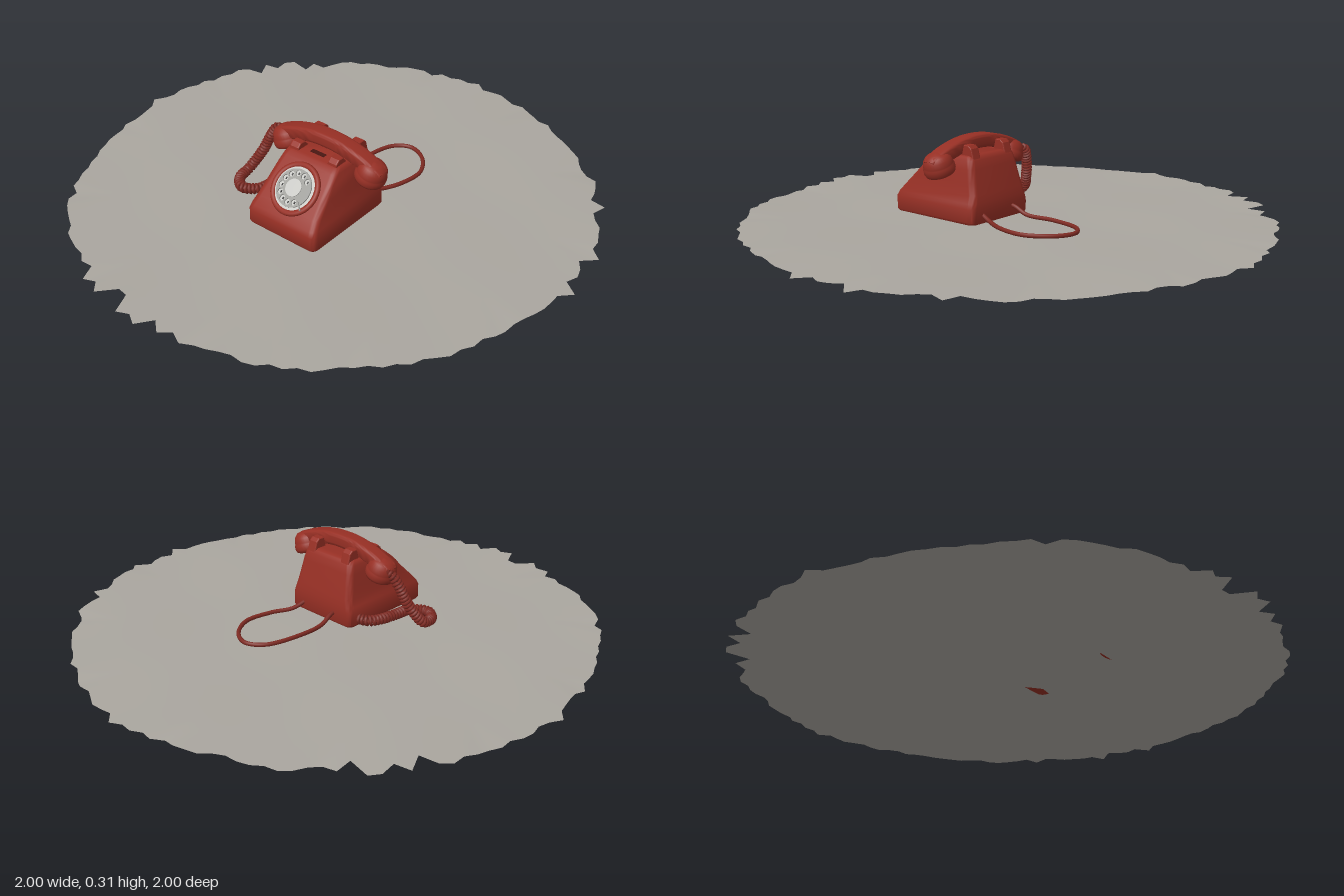
import * as THREE from 'three';
import { toCreasedNormals } from 'three/addons/utils/BufferGeometryUtils.js';

const CX = 0.06; // the telephone sits a little off centre on the mat

const mat = (name, color, side = THREE.FrontSide) => {
  const m = new THREE.MeshStandardMaterial({ color, side });
  m.name = name;
  return m;
};

// Rounded rectangle as a counterclockwise list of [u, v]
function roundedRect(hw, hh, r, n = 5) {
  const pts = [];
  [[1, 1], [-1, 1], [-1, -1], [1, -1]].forEach(([sx, sy], k) => {
    for (let i = 0; i <= n; i++) {
      const a = (k + i / n) * Math.PI / 2;
      pts.push([sx * (hw - r) + r * Math.cos(a), sy * (hh - r) + r * Math.sin(a)]);
    }
  });
  return pts;
}

// Closed skin through a list of equal-sized rings
function loft(rings, crease) {
  const n = rings[0].length, pos = rings.flat(2), idx = [];
  for (let i = 0; i < rings.length - 1; i++)
    for (let j = 0; j < n; j++) {
      const a = i * n + j, b = i * n + (j + 1) % n;
      idx.push(a, b, b + n, a, b + n, a + n);
    }
  const last = (rings.length - 1) * n;
  for (let j = 1; j < n - 1; j++) idx.push(0, j + 1, j, last, last + j, last + j + 1);
  const g = new THREE.BufferGeometry();
  g.setAttribute('position', new THREE.Float32BufferAttribute(pos, 3));
  g.setIndex(idx);
  return toCreasedNormals(g, crease);
}

export function createModel() {
  const root = new THREE.Group();
  const red = mat('telephone red', 0x962f24);
  const cordRed = mat('cord red', 0x7e2a22);
  const darkRed = mat('recess dark red', 0x4a1712);
  const stone = mat('mat grey', 0xaaa69f, THREE.DoubleSide);
  const pale = mat('dial pale grey', 0xc6c6c2);
  const steel = mat('dial steel', 0x9c9c98);
  const ink = mat('dial marks', 0x3a3a3a);
  const add = (name, geo, material, parent = root) => {
    const m = new THREE.Mesh(geo, material);
    m.name = name;
    parent.add(m);
    return m;
  };
  const V = (x, y, z) => new THREE.Vector3(x, y, z);

  // Ground mat: gently wavy disc with a ragged edge
  let seed = 11;
  const rand = () => (seed = (seed * 16807) % 2147483647) / 2147483647;
  const N = 144, rim = [];
  for (let i = 0; i < N; i++) {
    const a = i / N * Math.PI * 2;
    const rough = 0.012 + 0.035 * Math.max(0, Math.sin(3 * a + 0.4)) ** 2;
    rim.push(i % (N / 4) === 0 ? 1 : 0.968 + 0.008 * Math.sin(5 * a) + (rand() - 0.5) * 2 * rough);
  }
  const disc = new THREE.RingGeometry(0, 1, N, 12);
  const p = disc.attributes.position;
  for (let i = 0; i < p.count; i++) {
    const x = p.getX(i), y = p.getY(i), r = Math.hypot(x, y);
    const k = r > 0.99 ? Math.min(rim[(i % (N + 1)) % N], 1) : 0.97;
    p.setXYZ(i, x * k, y * k, 0.008 + 0.003 * Math.sin(7 * x + 4 * y) * Math.cos(6 * y - 3 * x)
      - (r > 0.99 && i % 12 === 5 ? 0.005 : 0));
  }
  disc.rotateX(-Math.PI / 2);
  disc.computeVertexNormals();
  add('groundMat', disc, stone);

  const phone = new THREE.Group();
  phone.name = 'telephone';
  phone.position.x = CX;
  root.add(phone);

  // Body: [height, half width, front z, back z, corner radius]
  const body = [
    [0.01, 0.150, 0.375, -0.014, 0.022], [0.018, 0.155, 0.38, -0.018, 0.024],
    [0.068, 0.154, 0.38, -0.017, 0.024], [0.086, 0.149, 0.371, -0.016, 0.024],
    [0.115, 0.141, 0.345, -0.011, 0.024], [0.16, 0.134, 0.3, 0, 0.024],
    [0.205, 0.127, 0.255, 0.01, 0.022], [0.235, 0.121, 0.225, 0.018, 0.022],
    [0.247, 0.115, 0.208, 0.025, 0.02], [0.252, 0.105, 0.196, 0.034, 0.018],
  ].map(([y, hw, zf, zb, r]) => roundedRect(hw, (zf - zb) / 2, r)
    .map(([u, v]) => [u, y, (zf + zb) / 2 - v]));
  add('body', loft(body, 0.7), red, phone);

  // Cradle: a forked rest on each side
  const fork = new THREE.Shape([[0.205, 0.2], [0.195, 0.258], [0.182, 0.27], [0.162, 0.27], [0.145, 0.25],
    [0.075, 0.25], [0.066, 0.285], [0.045, 0.285], [0.034, 0.275], [0.012, 0.2]]
    .map(([z, y]) => new THREE.Vector2(z, y)));
  const forkGeo = new THREE.ExtrudeGeometry(fork, {
    depth: 0.03, bevelEnabled: true, bevelSize: 0.003, bevelThickness: 0.005, bevelSegments: 2,
  });
  forkGeo.translate(0, 0, -0.015).rotateY(-Math.PI / 2);
  for (const s of [-1, 1]) add('cradleFork', forkGeo, red, phone).position.x = s * 0.086;
  add('topRecess', new THREE.BoxGeometry(0.06, 0.006, 0.018), darkRed, phone).position.set(0, 0.251, 0.168);

  // Handset: arched bar with a cup at each end
  const handset = new THREE.Group();
  handset.name = 'handset';
  handset.position.z = 0.11;
  phone.add(handset);
  const arch = new THREE.CatmullRomCurve3([V(-0.235, 0.222, 0), V(-0.16, 0.258, 0), V(-0.07, 0.281, 0),
    V(0, 0.286, 0), V(0.07, 0.281, 0), V(0.16, 0.258, 0), V(0.235, 0.222, 0)]);
  const bar = [];
  for (let i = 0; i <= 28; i++) {
    const c = arch.getPoint(i / 28), t = arch.getTangent(i / 28);
    const k = i % 28 ? 1 : 0.75;
    bar.push(roundedRect(0.026 * k, 0.033 * k, 0.014 * k)
      .map(([u, v]) => [c.x - t.y * u, c.y + t.x * u, v]));
  }
  add('handsetBar', loft(bar, 0.8), red, handset);
  const cup = new THREE.LatheGeometry([[0, 0.004], [0.036, 0.003], [0.046, 0], [0.054, 0.004], [0.058, 0.014],
    [0.058, 0.03], [0.054, 0.034], [0.055, 0.04], [0.051, 0.058], [0.04, 0.072], [0.022, 0.08], [0, 0.082]]
    .map(([r, y]) => new THREE.Vector2(r, y)), 32);
  for (const s of [-1, 1]) {
    const c = add(s < 0 ? 'mouthpiece' : 'earpiece', cup, red, handset);
    c.position.set(s * 0.18, 0.19, 0);
    c.rotation.z = -s * 0.34;
  }

  // Dial on the sloping front
  const dial = new THREE.Group();
  dial.name = 'dial';
  dial.position.set(0, 0.168, 0.292);
  dial.rotation.x = -Math.PI / 4;
  phone.add(dial);
  const puck = (r, h) => new THREE.CylinderGeometry(r, r, h, 40).rotateX(Math.PI / 2);
  add('dialBezel', new THREE.TorusGeometry(0.088, 0.011, 10, 40), red, dial);
  add('dialPlate', puck(0.083, 0.012), pale, dial);
  const wheel = new THREE.Shape().absarc(0, 0, 0.07, 0, Math.PI * 2);
  const spot = (i) => {
    const a = 0.75 + i * Math.PI / 6.3;
    return [0.053 * Math.cos(a), 0.053 * Math.sin(a)];
  };
  for (let i = 0; i < 10; i++) {
    const [x, y] = spot(i);
    wheel.holes.push(new THREE.Path().absarc(x, y, 0.0105, 0, Math.PI * 2, true));
    add('dialMark', new THREE.BoxGeometry(0.005, 0.009, 0.002), ink, dial).position.set(x, y, 0.0065);
  }
  const wheelGeo = new THREE.ExtrudeGeometry(wheel, { depth: 0.004, bevelEnabled: false, curveSegments: 20 });
  add('fingerWheel', wheelGeo, steel, dial).position.z = 0.009;
  add('dialCentre', puck(0.032, 0.006), pale, dial).position.z = 0.013;
  const stop = add('fingerStop', new THREE.BoxGeometry(0.034, 0.005, 0.004), steel, dial);
  stop.position.set(0.054, -0.05, 0.016);
  stop.rotation.z = -0.75;

  // Coiled cord: helix wound around a drooping path
  const path = new THREE.CatmullRomCurve3([V(-0.17, 0.238, 0.09), V(-0.2, 0.225, 0.09), V(-0.225, 0.185, 0.1),
    V(-0.25, 0.12, 0.12), V(-0.285, 0.045, 0.165), V(-0.28, 0.034, 0.22), V(-0.23, 0.033, 0.262),
    V(-0.175, 0.034, 0.23), V(-0.162, 0.034, 0.16), V(-0.15, 0.034, 0.09), V(-0.125, 0.034, 0.045),
    V(-0.075, 0.036, 0.03)]);
  const turns = 52, steps = turns * 12;
  const frames = path.computeFrenetFrames(steps, false);
  const helix = [];
  for (let i = 0; i <= steps; i++) {
    const a = i / 12 * Math.PI * 2, r = 0.015 * Math.min(1, i / 40);
    helix.push(path.getPointAt(i / steps)
      .addScaledVector(frames.normals[i], r * Math.cos(a))
      .addScaledVector(frames.binormals[i], r * Math.sin(a)));
  }
  add('coiledCord', new THREE.TubeGeometry(new THREE.CatmullRomCurve3(helix), steps, 0.0065, 6), cordRed);

  // Line cord: loop lying behind the body
  const line = new THREE.CatmullRomCurve3([V(-0.005, 0.05, 0.0), V(-0.006, 0.045, -0.03), V(-0.01, 0.022, -0.08),
    V(-0.013, 0.021, -0.2), V(0.02, 0.021, -0.33), V(0.08, 0.021, -0.37), V(0.155, 0.021, -0.34),
    V(0.212, 0.021, -0.25), V(0.2, 0.021, -0.14), V(0.165, 0.024, -0.06), V(0.15, 0.045, 0.0)]);
  add('lineCord', new THREE.TubeGeometry(line, 90, 0.008, 8), cordRed);

  return root;
}
